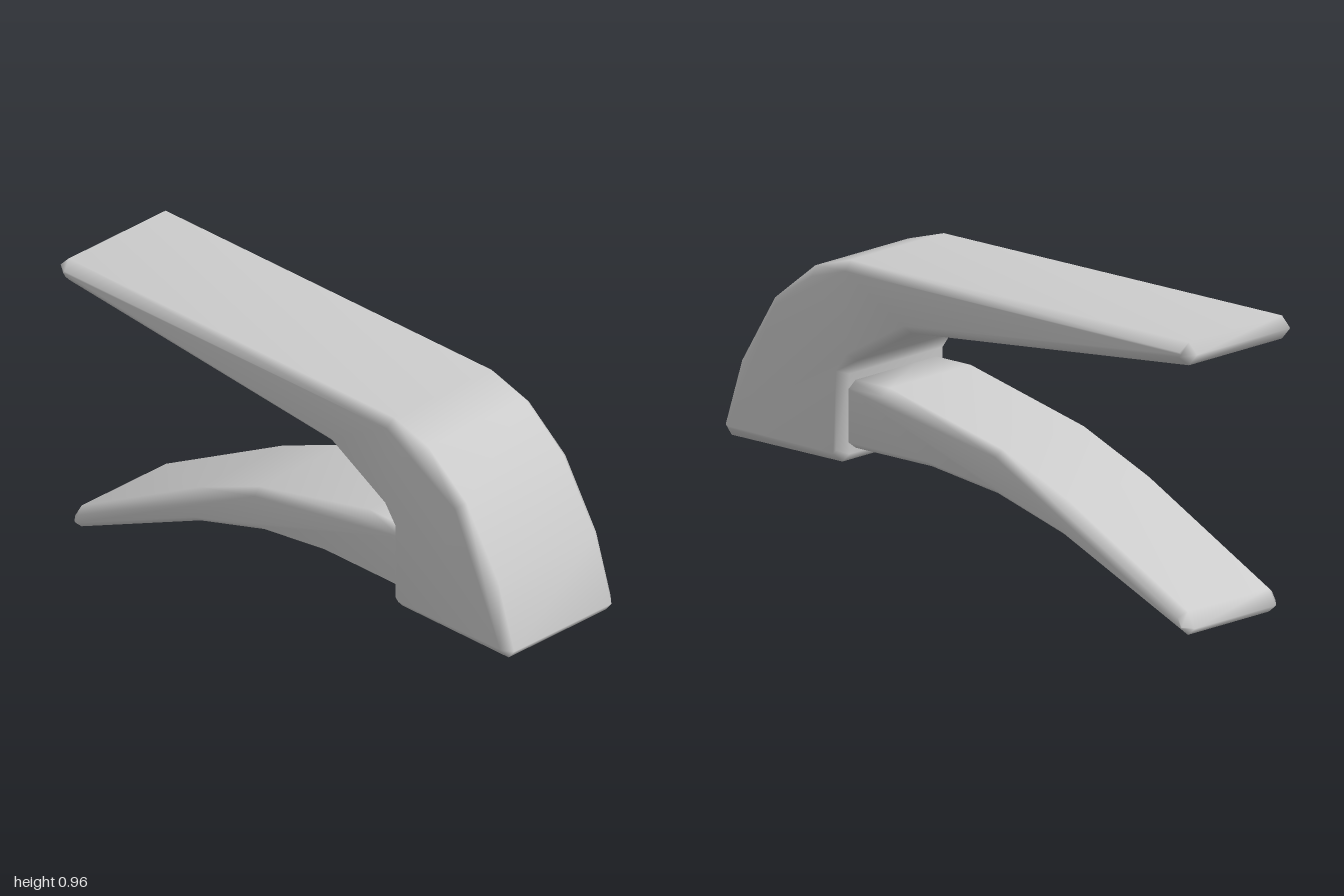
import * as THREE from 'three';
import { mergeVertices } from 'three/addons/utils/BufferGeometryUtils.js';

const material = new THREE.MeshStandardMaterial({ color: 0xcccccc });

// Side profile given as [z, y], extruded across x with a single chamfer.
function makeArm(name, profile, halfWidth, chamfer, inset) {
  const shape = new THREE.Shape(profile.map(([z, y]) => new THREE.Vector2(z, y)));
  const depth = 2 * (halfWidth - chamfer);
  let geometry = new THREE.ExtrudeGeometry(shape, {
    depth,
    bevelEnabled: true,
    bevelSegments: 1,
    bevelThickness: chamfer,
    bevelSize: inset,
    bevelOffset: -inset,
  });
  geometry.translate(0, 0, -depth / 2);
  geometry.rotateY(-Math.PI / 2);

  // Weld the corners so the chamfers shade smoothly
  geometry.deleteAttribute('normal');
  geometry.deleteAttribute('uv');
  geometry = mergeVertices(geometry, 1e-4);
  geometry.computeVertexNormals();

  const mesh = new THREE.Mesh(geometry, material);
  mesh.name = name;
  return mesh;
}

export function createModel() {
  const model = new THREE.Group();
  model.name = 'twoArmLever';

  // Hooked body with the long straight upper arm
  model.add(makeArm('bodyAndUpperArm', [
    [0.505, 0.30], [0.975, 0.30], [1.0, 0.33], [0.93, 0.55], [0.79, 0.78],
    [0.62, 0.915], [0.47, 0.96], [-0.965, 0.96], [-1.0, 0.925], [-0.965, 0.885],
    [0.21, 0.77], [0.44, 0.64], [0.475, 0.59], [0.475, 0.33],
  ], 0.245, 0.03, 0.03));

  // Curved lower arm, its root set into the body
  model.add(makeArm('lowerArm', [
    [0.52, 0.345], [0.52, 0.565], [0.33, 0.565], [-0.15, 0.455], [-0.42, 0.345],
    [-0.935, 0.075], [-0.965, 0.025], [-0.935, 0.0], [-0.41, 0.23],
    [-0.13, 0.31], [0.15, 0.345],
  ], 0.217, 0.03, 0.022));

  return model;
}
